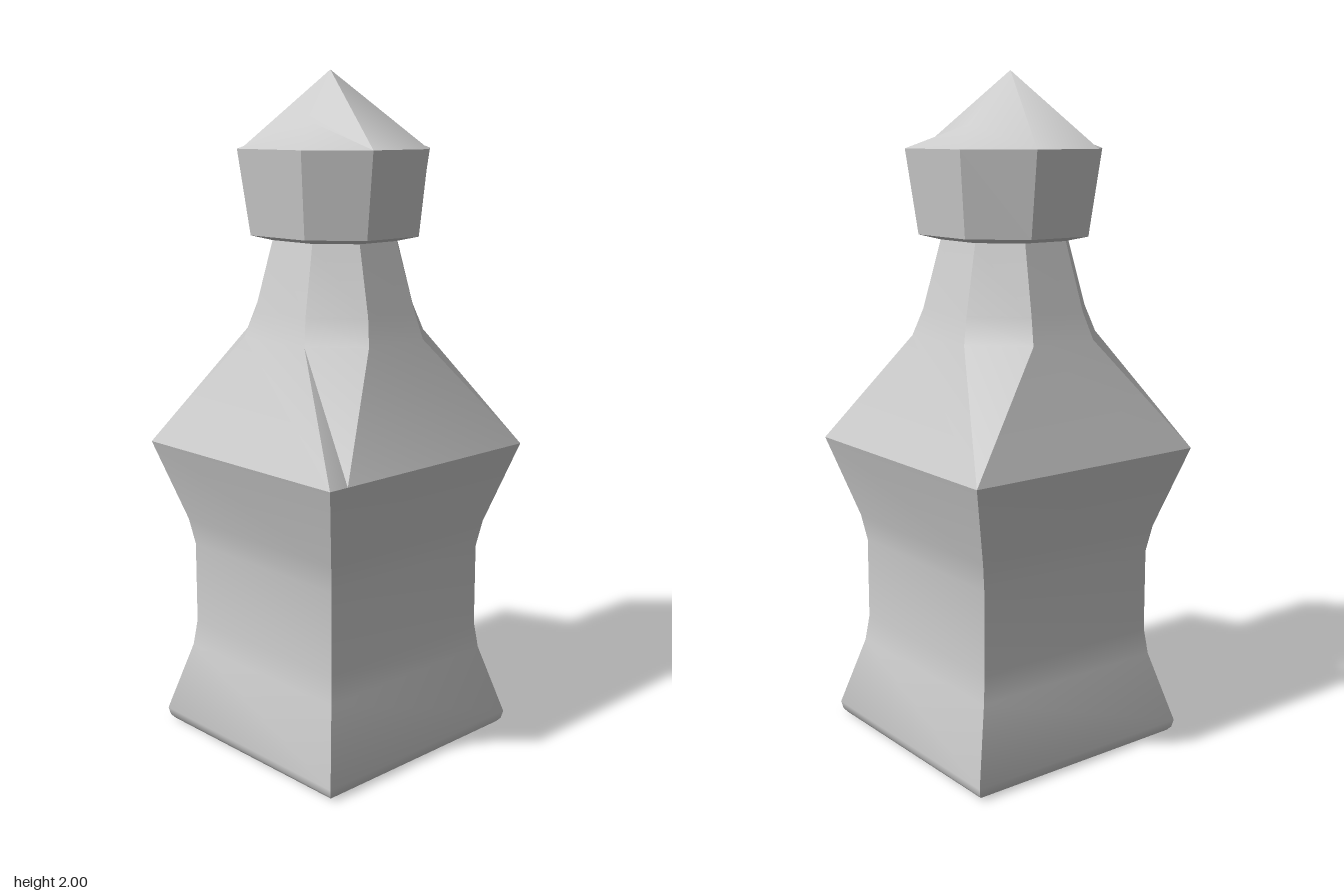
import * as THREE from 'three';
import { toCreasedNormals } from 'three/addons/utils/BufferGeometryUtils.js';

// Eight-cornered section: half width, half depth, ends of the front edge, half length of the side edge
function ring(y, X, Z, left, right, b) {
  return [[X, b], [right, Z], [-left, Z], [-X, b], [-X, -b], [-left, -Z], [right, -Z], [X, -b]]
    .map(([x, z]) => new THREE.Vector3(x, y, z));
}
const square = (y, s) => ring(y, s, s, s, s, s);

// Add a triangle unless it has collapsed
function addTri(tris, a, b, c) {
  const area = b.clone().sub(a).cross(c.clone().sub(a)).length();
  if (area > 1e-7) tris.push(a, b, c);
}

function loft(rings) {
  const tris = [];
  for (let k = 0; k < rings.length - 1; k++) {
    const p = rings[k], q = rings[k + 1];
    for (let i = 0; i < 8; i++) {
      const j = (i + 1) % 8;
      addTri(tris, p[i], q[i], q[j]);
      addTri(tris, p[i], q[j], p[j]);
    }
  }
  return tris;
}

function makeMesh(name, tris, crease) {
  const geometry = toCreasedNormals(new THREE.BufferGeometry().setFromPoints(tris), crease);
  const mesh = new THREE.Mesh(geometry, new THREE.MeshStandardMaterial({ color: 0xcccccc }));
  mesh.name = name;
  return mesh;
}

export function createModel() {
  const group = new THREE.Group();
  group.name = 'tower';

  // Square flared pedestal with a flat underside
  const foot = square(0, 0.36);
  const shoulder = ring(0.905, 0.395, 0.395, 0.33, 0.395, 0.395);
  const pedestal = loft([
    foot, square(0.012, 0.37), square(0.035, 0.375), square(0.25, 0.315), square(0.33, 0.305),
    square(0.58, 0.305), square(0.66, 0.319), shoulder,
  ]);
  for (let i = 1; i < 7; i++) addTri(pedestal, foot[0], foot[i], foot[i + 1]);
  group.add(makeMesh('pedestal', pedestal, 0.5));

  // Sloping neck whose corners open into chamfers
  const neckTop = ring(1.52, 0.17, 0.183, 0.08, 0.068, 0.085);
  group.add(makeMesh('neck', loft([
    shoulder,
    ring(1.24, 0.243, 0.262, 0.12, 0.1, 0.13),
    ring(1.32, 0.218, 0.238, 0.1, 0.088, 0.108),
    neckTop,
  ]), 0.5));

  // Octagonal head, narrower at the bottom
  const rim = ring(1.78, 0.257, 0.275, 0.12, 0.1, 0.135);
  group.add(makeMesh('head', loft([
    neckTop, ring(1.535, 0.227, 0.245, 0.112, 0.095, 0.115), rim,
  ]), 0.5));

  // Pointed roof, dented on the two sides
  const apex = new THREE.Vector3(-0.02, 2, 0);
  const dentR = new THREE.Vector3(0.13, 1.848, 0);
  const dentL = new THREE.Vector3(-0.11, 1.86, 0);
  const roof = [];
  const tops = [dentR, apex, dentL, dentL, dentL, apex, dentR, dentR];
  for (let i = 0; i < 8; i++) addTri(roof, rim[i], tops[i], rim[(i + 1) % 8]);
  addTri(roof, rim[1], dentR, apex);
  addTri(roof, rim[2], apex, dentL);
  addTri(roof, rim[5], dentL, apex);
  addTri(roof, rim[6], apex, dentR);
  group.add(makeMesh('roof', roof, 0.9));

  return group;
}
